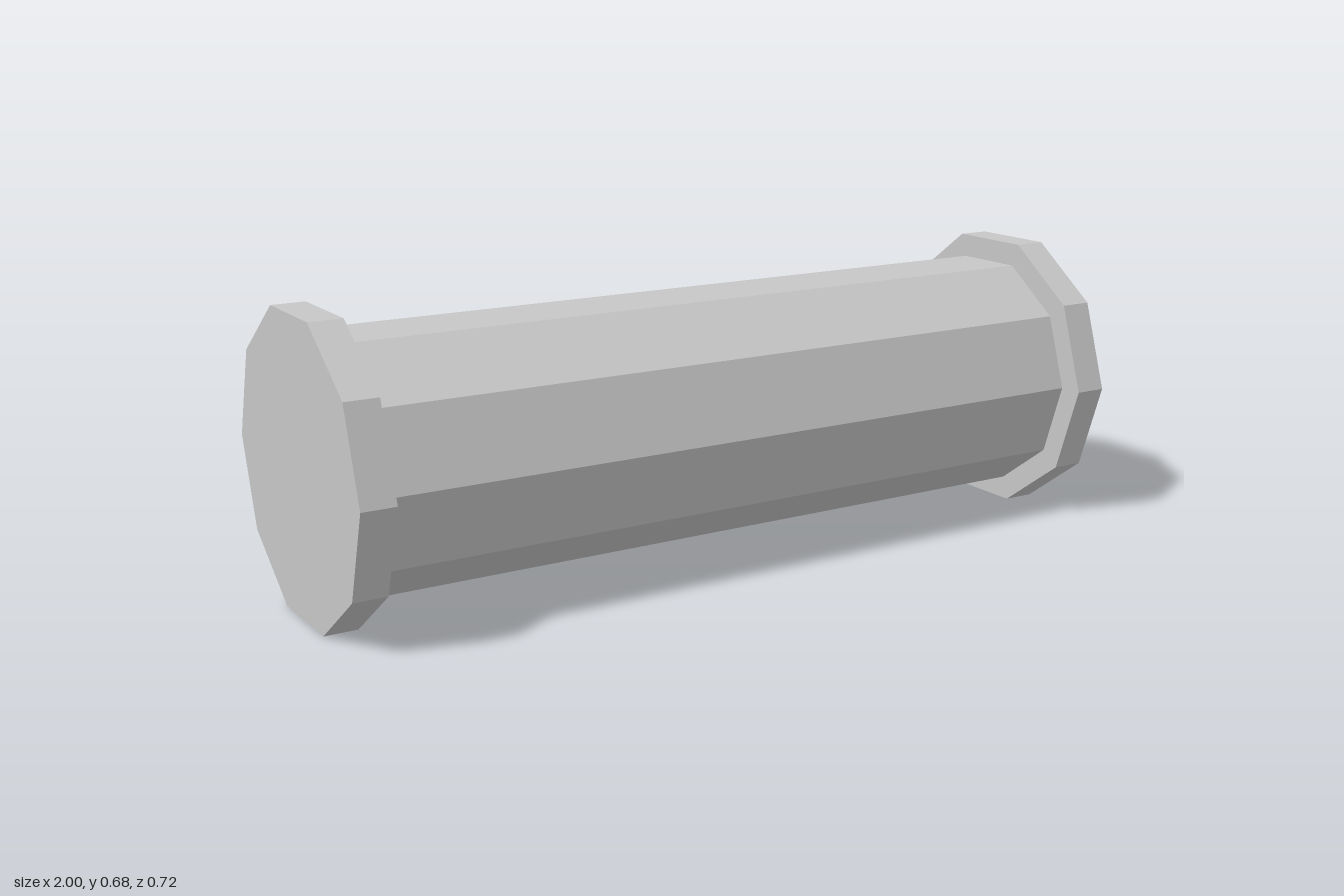
import * as THREE from 'three';

const SIDES = 10;
const RIM_RADIUS = 0.36;
const BODY_RADIUS = 0.3;
const RIM_WIDTH = 0.08;
const CENTRE_Y = RIM_RADIUS * Math.cos(Math.PI / SIDES); // rims rest on a flat facet

export function createModel() {
  const model = new THREE.Group();
  model.name = 'flangedRoller';

  const grey = new THREE.MeshStandardMaterial({ color: 0xc6c6c6 });
  grey.name = 'light grey';
  grey.flatShading = true;

  // Ten-sided prism lying along x, corners at front and back
  function addPrism(name, radius, length, x, openEnded) {
    const geometry = new THREE.CylinderGeometry(radius, radius, length, SIDES, 1, openEnded);
    geometry.rotateZ(-Math.PI / 2);
    const mesh = new THREE.Mesh(geometry, grey);
    mesh.name = name;
    mesh.position.set(x, CENTRE_Y, 0);
    model.add(mesh);
  }

  // Long barrel between the rims
  addPrism('barrel', BODY_RADIUS, 2 - 2 * RIM_WIDTH, 0, true);

  // Wider rim at each end
  for (const [name, side] of [['leftRim', 1], ['rightRim', -1]]) {
    addPrism(name, RIM_RADIUS, RIM_WIDTH, side * (1 - RIM_WIDTH / 2), false);
  }

  return model;
}
